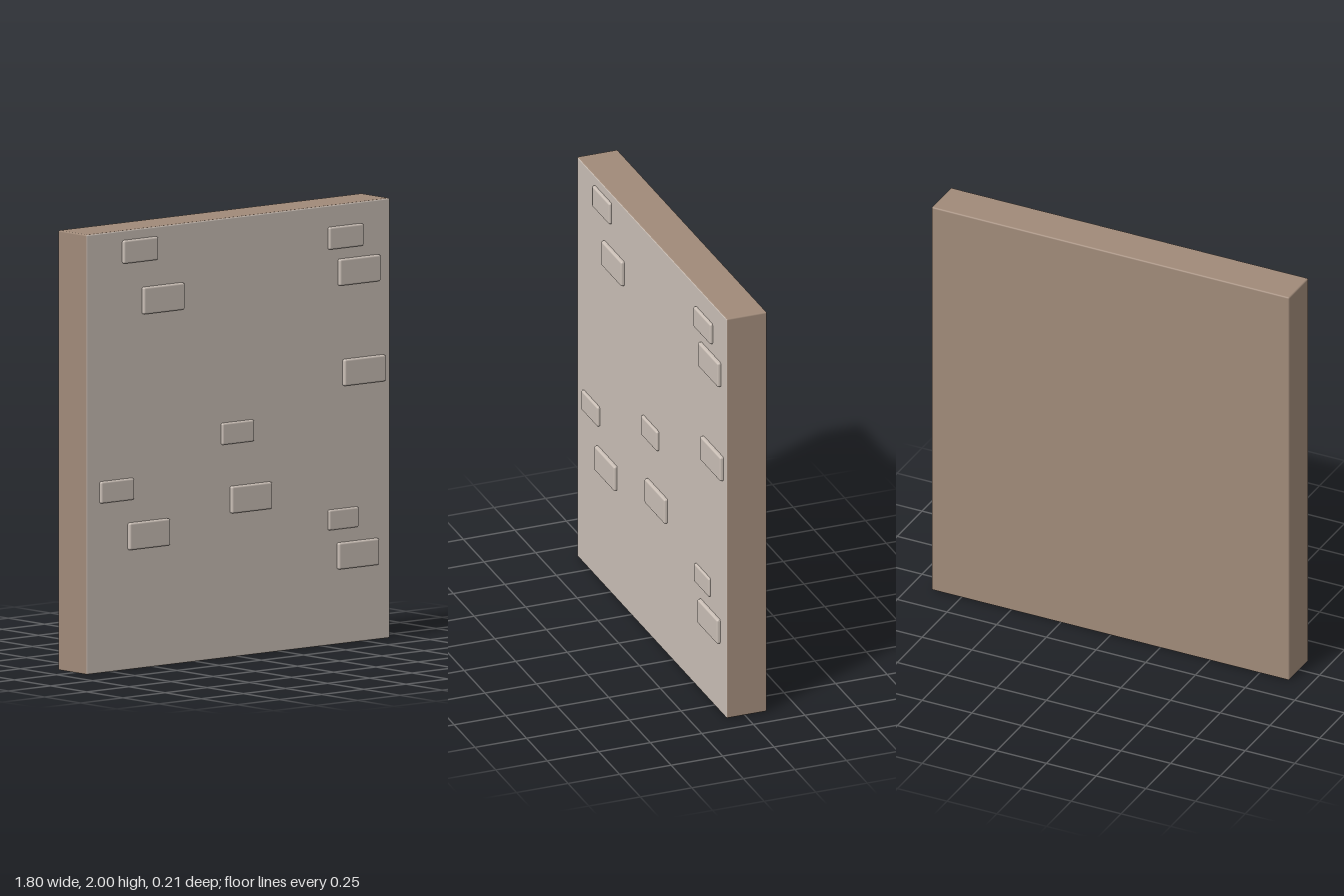
import * as THREE from 'three';
import { RoundedBoxGeometry } from 'three/addons/geometries/RoundedBoxGeometry.js';

const FRONT = 0.09;
const BACK = -0.107;

// Exposed bricks: centre x, centre y, width, height, how far they stand out
const BRICKS = [
  [-0.585, 1.902, 0.206, 0.106, 0.014],
  [-0.450, 1.670, 0.243, 0.123, 0.017],
  [0.633, 1.850, 0.204, 0.102, 0.014],
  [0.712, 1.690, 0.243, 0.121, 0.017],
  [0.741, 1.232, 0.245, 0.121, 0.017],
  [-0.008, 1.020, 0.190, 0.099, 0.013],
  [-0.723, 0.821, 0.198, 0.099, 0.013],
  [0.071, 0.716, 0.241, 0.123, 0.017],
  [-0.535, 0.606, 0.241, 0.123, 0.017],
  [0.620, 0.569, 0.178, 0.093, 0.011],
  [0.705, 0.401, 0.241, 0.121, 0.017],
];

export function createModel() {
  const model = new THREE.Group();
  model.name = 'wallPanel';

  const plaster = new THREE.MeshStandardMaterial({ color: 0xcabfb6 });
  plaster.name = 'pale plaster';
  const clay = new THREE.MeshStandardMaterial({ color: 0xa08a79 });
  clay.name = 'brown clay';

  // Wall slab: plastered front, clay on the other five sides
  const depth = FRONT - BACK;
  const wall = new THREE.Mesh(
    new RoundedBoxGeometry(1.8, 2, depth, 2, 0.007),
    [clay, clay, clay, clay, plaster, clay],
  );
  wall.name = 'wall';
  wall.position.set(0, 1, (FRONT + BACK) / 2);
  model.add(wall);

  // Bricks half sunk into the plaster
  const bricks = new THREE.Group();
  bricks.name = 'bricks';
  const thickness = 0.05;
  for (const [x, y, w, h, out] of BRICKS) {
    const brick = new THREE.Mesh(new RoundedBoxGeometry(w, h, thickness, 2, 0.009), plaster);
    brick.name = 'brick';
    brick.position.set(x, y, FRONT + out - thickness / 2);
    bricks.add(brick);
  }
  model.add(bricks);

  return model;
}
